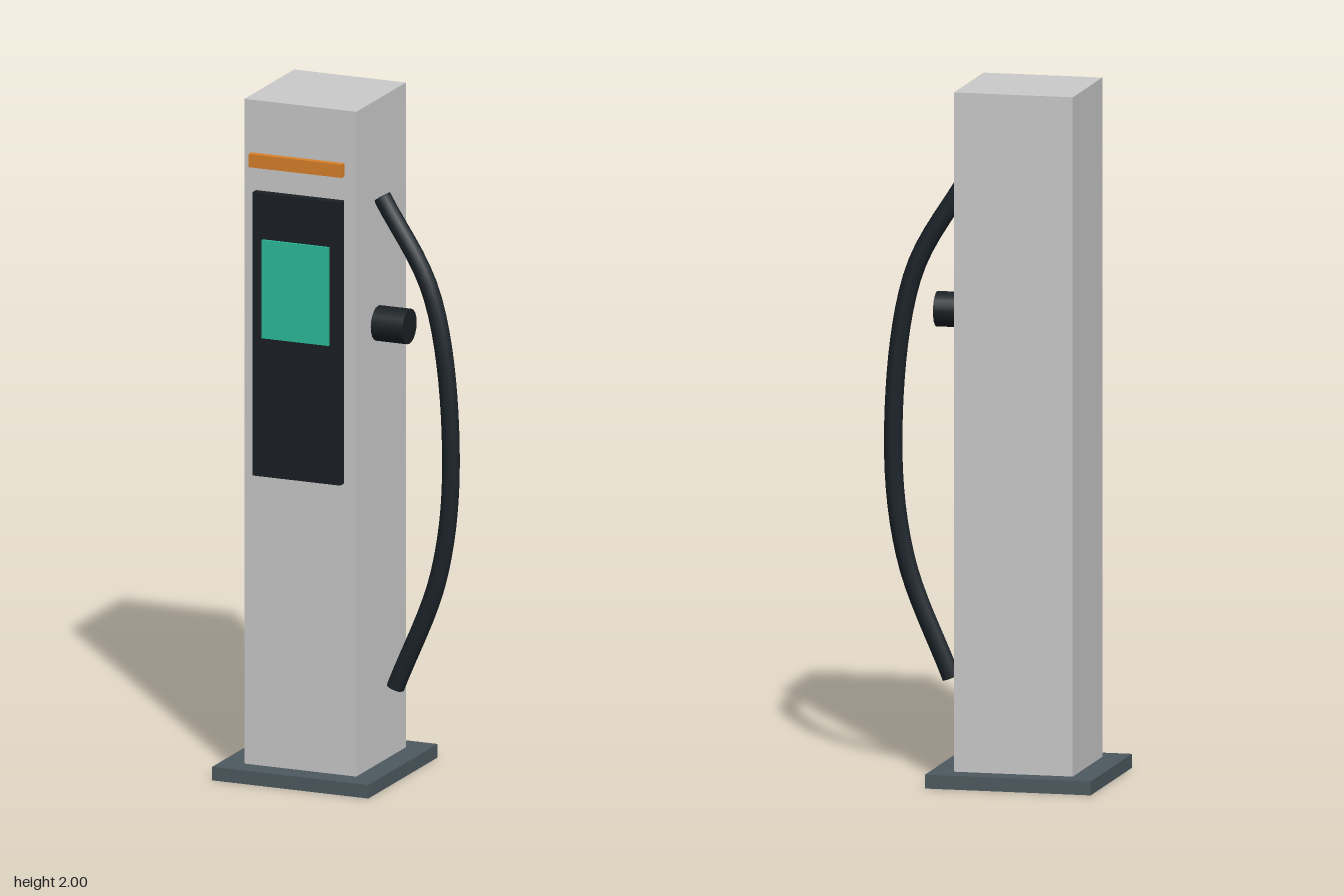
import * as THREE from 'three';

const material = (color, extra = {}) => new THREE.MeshStandardMaterial({ color, ...extra });

// Box given by its lowest and highest corner
function box(name, min, max, mat) {
  const size = max.map((v, i) => v - min[i]);
  const mesh = new THREE.Mesh(new THREE.BoxGeometry(...size), mat);
  mesh.position.set(...max.map((v, i) => (v + min[i]) / 2));
  mesh.name = name;
  return mesh;
}

export function createModel() {
  const model = new THREE.Group();
  model.name = 'chargingStation';
  const black = material(0x1a2024);

  // Foot plate and column
  model.add(box('basePlate', [-0.338, 0, -0.243], [0.148, 0.04, 0.243], material(0x4d5a60)));
  model.add(box('column', [-0.268, 0.04, -0.174], [0.08, 2, 0.174], material(0xc8ccca)));

  // Front panel, screen and status light bar
  model.add(box('frontPanel', [-0.232, 0.9, 0.17], [0.042, 1.735, 0.2], black));
  model.add(box('screen', [-0.2, 1.31, 0.195], [0.008, 1.6, 0.208], material(0x2bbd9c)));
  model.add(box('lightBar', [-0.24, 1.81, 0.188], [0.05, 1.849, 0.208], material(0xd9822b)));

  // Plug holder on the side
  const holder = new THREE.Mesh(new THREE.CylinderGeometry(0.051, 0.051, 0.108, 20), black);
  holder.name = 'plugHolder';
  holder.rotation.z = Math.PI / 2;
  holder.position.set(0.124, 1.34, 0.022);
  model.add(holder);

  // Bowed charging cable
  const path = new THREE.CatmullRomCurve3([
    [0.093, 1.715, 0.024], [0.248, 1.44, 0.023], [0.307, 0.98, 0.022],
    [0.272, 0.62, 0.026], [0.14, 0.275, 0.035],
  ].map((p) => new THREE.Vector3(...p)));
  const cable = new THREE.Mesh(
    new THREE.TubeGeometry(path, 32, 0.027, 8),
    material(0x1c242a, { side: THREE.DoubleSide }),
  );
  cable.name = 'cable';
  model.add(cable);

  // Cable end caps
  for (const t of [0, 1]) {
    const cap = new THREE.Mesh(new THREE.CircleGeometry(0.026, 8), cable.material);
    cap.name = t ? 'cableLowerEnd' : 'cableUpperEnd';
    cap.position.copy(path.getPointAt(t));
    const outward = path.getTangentAt(t).multiplyScalar(t ? 1 : -1);
    cap.quaternion.setFromUnitVectors(new THREE.Vector3(0, 0, 1), outward);
    model.add(cap);
  }
  return model;
}
